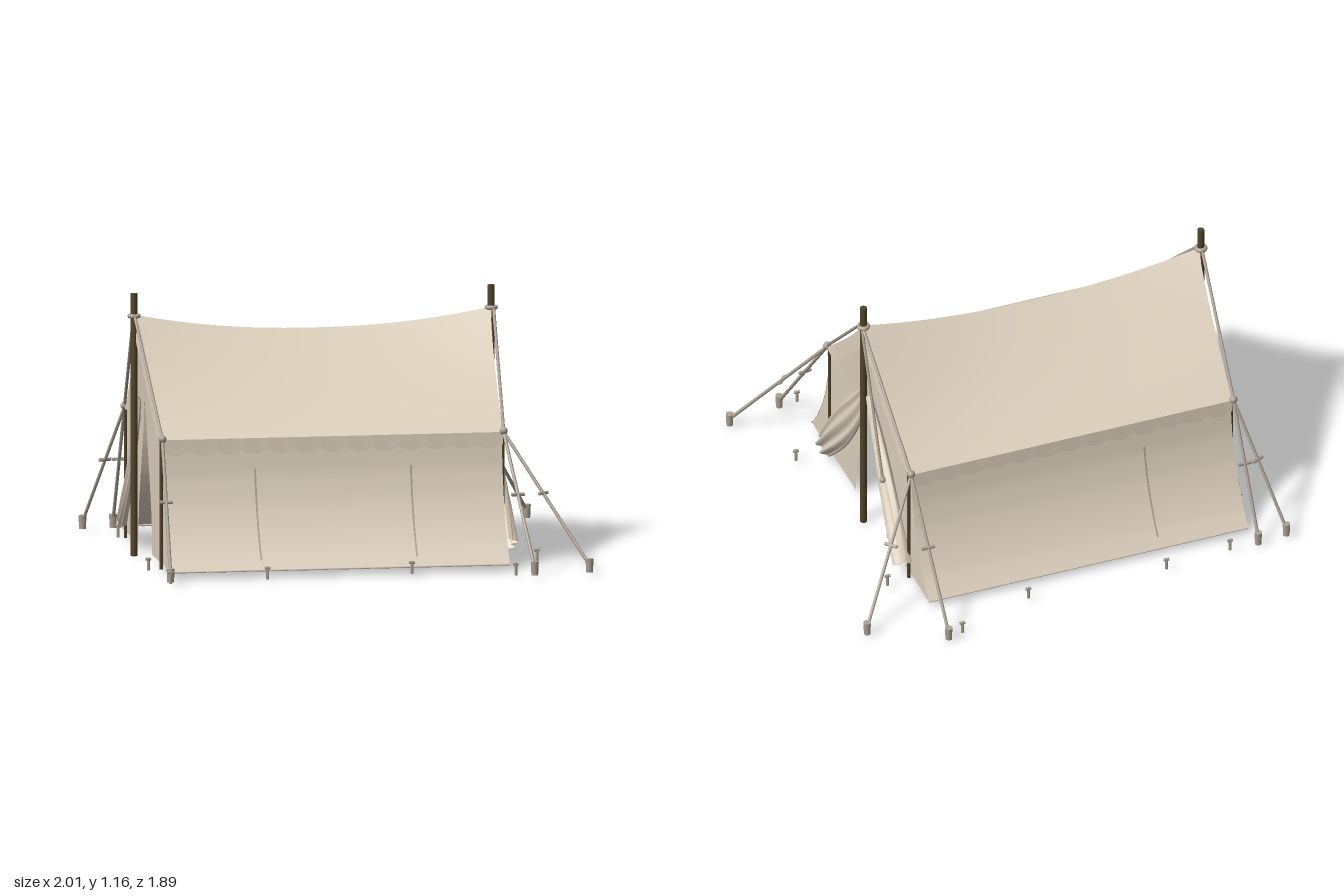
import * as THREE from 'three';

const canvas = new THREE.MeshStandardMaterial({ color: 0xddd0bd, side: THREE.DoubleSide });
canvas.name = 'canvas';
const rope = new THREE.MeshStandardMaterial({ color: 0xaca293 });
rope.name = 'rope';
const wood = new THREE.MeshStandardMaterial({ color: 0x52442a });
wood.name = 'dark wood';

const V = (x, y, z) => new THREE.Vector3(x, y, z);
const lerp = THREE.MathUtils.lerp;
const Z0 = 0.02;                                   // ridge line
const sideScale = s => (s > 0 ? 1 : 0.965);        // back half is slightly shallower
const zAt = (s, d) => Z0 + s * d * sideScale(s);

// Piecewise-linear lookup in [key, value] pairs
function lookup(table, k) {
  for (let i = 1; i < table.length; i++) {
    const [a, b] = [table[i - 1], table[i]];
    if (k <= b[0]) return lerp(a[1], b[1], Math.max(0, (k - a[0]) / (b[0] - a[0])));
  }
  return table[table.length - 1][1];
}

// Surface from a rule f(u, v), u and v in 0..1
function sheet(nu, nv, f) {
  const pos = [], idx = [];
  for (let j = 0; j <= nv; j++)
    for (let i = 0; i <= nu; i++) pos.push(...f(i / nu, j / nv));
  for (let j = 0; j < nv; j++)
    for (let i = 0; i < nu; i++) {
      const a = j * (nu + 1) + i, b = a + nu + 1;
      idx.push(a, b, a + 1, a + 1, b, b + 1);
    }
  const g = new THREE.BufferGeometry();
  g.setAttribute('position', new THREE.Float32BufferAttribute(pos, 3));
  g.setIndex(idx);
  g.computeVertexNormals();
  return g;
}

// Roof rules: sagging ridge, slightly hollow slope, ends drawn in toward the eaves
const EAVE_Y = 0.585, EAVE_D = 0.515;
const ridgeY = u => 0.99 + 0.075 * Math.pow(Math.abs(2 * u - 1), 2.2);
const endX = (e, v) => (e > 0 ? lerp(0.695, 0.658, Math.sqrt(v)) : lerp(-0.885, -0.845, Math.sqrt(v)));
function roofPoint(s, u, v) {
  const y = lerp(ridgeY(u), EAVE_Y, v) - 0.014 * Math.sin(Math.PI * v);
  return [lerp(endX(-1, v), endX(1, v), u), y, zAt(s, EAVE_D * v)];
}
// Flared wall: distance from the ridge line by height
const wallD = [[0.03, 0.722], [0.1, 0.66], [0.2, 0.6], [0.3, 0.555], [0.42, 0.52], [0.58, 0.497]];
const openD = [[0.03, 0.19], [0.2, 0.17], [0.35, 0.12], [0.5, 0.065], [0.68, 0], [1.1, 0]];

// Outer limit of an end panel at height y
function outerD(y) {
  if (y < 0.58) return lookup(wallD, y);
  let lo = 0, hi = 1;
  for (let i = 0; i < 24; i++) {
    const m = (lo + hi) / 2;
    if (roofPoint(1, 1, m)[1] > y) lo = m; else hi = m;
  }
  return EAVE_D * lo;
}

export function createModel() {
  const model = new THREE.Group();
  const add = (name, geo, mat) => {
    const m = new THREE.Mesh(geo, mat);
    m.name = name;
    model.add(m);
    return m;
  };
  const rod = (name, a, b, r, mat, sides = 8) => {
    const d = b.clone().sub(a);
    const m = add(name, new THREE.CylinderGeometry(r, r, d.length(), sides), mat);
    m.position.copy(a).addScaledVector(d, 0.5);
    m.quaternion.setFromUnitVectors(V(0, 1, 0), d.normalize());
    return m;
  };
  const ball = (name, p, r, mat) => add(name, new THREE.SphereGeometry(r, 10, 8), mat).position.copy(p);

  for (const s of [1, -1]) {
    const side = s > 0 ? 'front' : 'back';
    add(side + 'Roof', sheet(24, 10, (u, v) => roofPoint(s, u, v)), canvas);
    add(side + 'Wall', sheet(2, 14, (u, v) => {
      const y = lerp(0.58, 0.03, v);
      return [lerp(-0.842, 0.656, u), y, zAt(s, lookup(wallD, y))];
    }), canvas);
    // Scalloped strip below the eave
    add(side + 'Valance', sheet(156, 1, (u, v) => {
      const drop = 0.052 + 0.019 * Math.abs(Math.sin(u * Math.PI * 13));
      return [lerp(-0.845, 0.658, u), EAVE_Y - v * drop, zAt(s, EAVE_D + 0.004 * v)];
    }), canvas);
    rod(side + 'WallHem', V(-0.842, 0.03, zAt(s, 0.72)), V(0.656, 0.03, zAt(s, 0.72)), 0.004, canvas, 5);
    // Vertical stitched seams
    for (const x of s > 0 ? [-0.44, 0.25] : [-0.43])
      add(side + 'Seam', sheet(1, 8, (u, v) => {
        const y = lerp(0.45, 0.07, v);
        return [x + (u - 0.5) * 0.008 * s, y, zAt(s, lookup(wallD, y) + 0.004)];
      }), rope);

    for (const e of [1, -1]) {
      const end = (e > 0 ? 'left' : 'right') + (s > 0 ? 'Front' : 'Back');
      const xEnd = y => endX(e, THREE.MathUtils.clamp((1.06 - y) / 0.48, 0, 1));
      // End panel with its half of the doorway
      add(end + 'EndPanel', sheet(6, 44, (u, v) => {
        const y = lerp(1.06, 0.03, v), o = outerD(y);
        return [xEnd(y) - e * 0.004, y, zAt(s, lerp(Math.min(lookup(openD, y), o), o, u))];
      }), canvas);
      // Scalloped strip hanging along the gable edge
      add(end + 'GableValance', sheet(60, 1, (u, v) => {
        const p = roofPoint(s, (e + 1) / 2, u);
        const drop = Math.min(0.11, 0.5 * (1 - u)) * (0.8 + 0.25 * Math.abs(Math.sin(u * Math.PI * 6)));
        return [p[0] + e * 0.006 * v, p[1] - v * drop, p[2]];
      }), canvas);
      // Gathered door flap tied back to the corner
      if (e > 0 || s < 0) {
        const size = e > 0 ? 1 : 0.5;
        add(end + 'DoorFlap', sheet(48, 24, (u, v) => {
          const a = u * Math.PI * 2;
          const w = size * (0.012 + 0.07 * Math.sin(Math.PI * Math.min(1, 0.08 + v * 0.72)));
          const fold = 1 + 0.42 * Math.sin(7 * a + 5 * v);
          const depth = size * (0.01 + 0.026 * v) * fold;
          const d = 0.025 + 0.45 * Math.pow(v, 1.1) + w * Math.cos(a) * 0.78;
          const y = 0.69 - 0.61 * v + w * Math.sin(a) * 0.12 + w * Math.cos(a) * 0.6;
          return [xEnd(y) + e * (0.012 + 0.012 * v + depth * Math.sin(a)), y, zAt(s, d)];
        }), canvas);
      }
      // Corner pole, its knot, and the rope lying along the gable edge
      const cx = e > 0 ? 0.662 : -0.85;
      const corner = V(cx, EAVE_Y + 0.005, zAt(s, EAVE_D));
      rod(end + 'CornerPole', V(cx, 0.01, zAt(s, 0.487)), V(cx, 0.58, zAt(s, 0.487)), 0.0075, wood);
      ball(end + 'CornerKnot', corner, 0.018, rope);
      rod(end + 'GableRope', V(e > 0 ? 0.7 : -0.89, 1.065, zAt(s, 0.012)), corner, 0.007, rope);
    }
  }

  // Main poles with lashings
  for (const x of [-0.89, 0.692]) {
    rod('ridgePole', V(x, 0, Z0), V(x, 1.16, Z0), 0.0155, wood, 12);
    const lash = add('ridgeLashing', new THREE.TorusGeometry(0.02, 0.01, 8, 16), rope);
    lash.rotation.x = Math.PI / 2;
    lash.position.set(x, 1.06, Z0);
  }

  // Guy ropes: corner x, side, ground x, ground z
  const guys = [
    [0.662, 1, 0.985, 0.88], [0.662, 1, 0.735, 0.925], [-0.85, 1, -0.87, 0.875],
    [0.662, -1, 0.98, -0.765], [0.662, -1, 0.662, -0.93],
    [-0.85, -1, -0.99, -0.755], [-0.85, -1, -0.852, -0.77],
  ];
  guys.forEach(([cx, s, gx, gz]) => {
    const a = V(cx, EAVE_Y, zAt(s, EAVE_D)), b = V(gx, 0.04, gz);
    rod('guyRope', a, b, 0.0075, rope);
    const stake = add('guyStake', new THREE.CylinderGeometry(0.018, 0.015, 0.06, 8), rope);
    stake.position.set(gx, 0.038, gz);
    // Wooden runner set across the rope
    const p = a.clone().lerp(b, 0.46);
    const across = b.clone().sub(a).cross(V(0, 1, 0)).normalize().multiplyScalar(0.03);
    rod('ropeRunner', p.clone().sub(across), p.clone().add(across), 0.008, rope, 6);
  });

  // Loose tie hanging from the ridge
  const tieEnd = V(0.715, 0.43, -0.27);
  rod('ridgeTie', V(0.705, 1.05, 0), tieEnd, 0.0065, rope);
  ball('tieKnot', tieEnd, 0.014, rope);

  // Small ground pegs with a hooked top
  const pegs = [
    [-0.88, 0.93], [-0.44, 0.875], [0.21, 0.81], [0.65, 0.93], [0.81, 0.53], [-0.91, 0.52],
    [-0.72, -0.77], [-0.41, -0.8], [0.23, -0.78], [0.59, -0.91], [0.77, -0.47], [-0.88, -0.47],
  ];
  for (const [x, z] of pegs) {
    rod('groundPeg', V(x, 0.01, z), V(x, 0.065, z), 0.007, rope, 6);
    rod('pegHook', V(x - 0.012, 0.06, z), V(x + 0.012, 0.06, z), 0.007, rope, 6);
  }
  return model;
}
